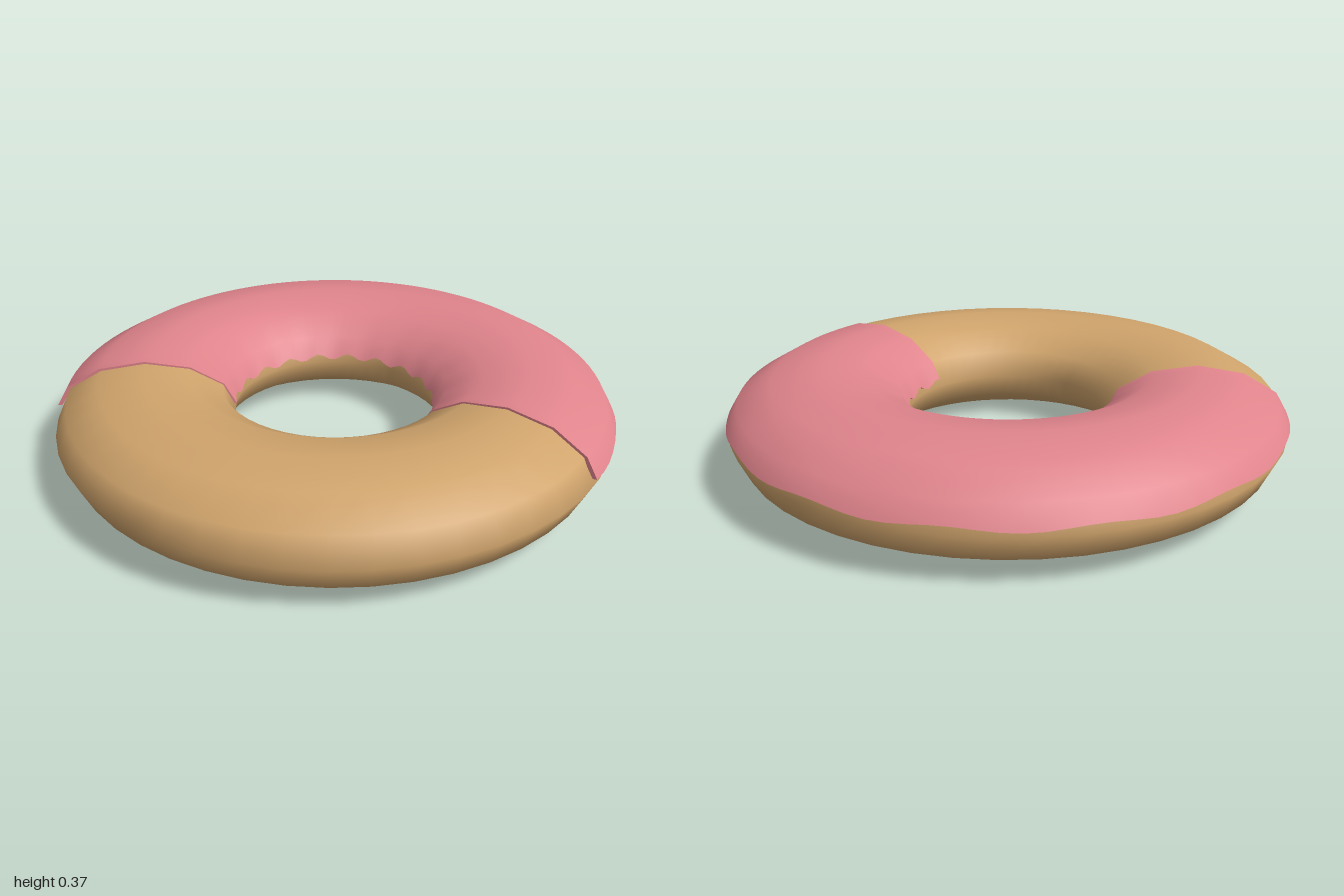
import * as THREE from 'three';

const RING = 0.675, TUBE = 0.315, HALF = 0.18; // ring radius, tube half width, half height
const START = -3.344, END = 0.445;             // icing sweep around the ring

// Point on the flattened ring: a around the ring, t around the tube, off = lift from the dough
function ringPoint(a, t, off) {
  const r = RING + (TUBE + off) * Math.cos(t);
  return [r * Math.cos(a), HALF + (HALF + off) * Math.sin(t), r * Math.sin(a)];
}

// Smooth grid sheet from a point function of u, v in 0..1
function sheet(fn, nu, nv) {
  const pos = [], index = [];
  for (let i = 0; i <= nu; i++) {
    for (let j = 0; j <= nv; j++) pos.push(...fn(i / nu, j / nv));
  }
  for (let i = 0; i < nu; i++) {
    for (let j = 0; j < nv; j++) {
      const a = i * (nv + 1) + j, b = a + nv + 1;
      index.push(a, a + 1, b, b, a + 1, b + 1);
    }
  }
  const g = new THREE.BufferGeometry();
  g.setAttribute('position', new THREE.Float32BufferAttribute(pos, 3));
  g.setIndex(index);
  g.computeVertexNormals();
  return g;
}

export function createModel() {
  const group = new THREE.Group();
  const doughMat = new THREE.MeshStandardMaterial({ color: 0xd0a46c });
  doughMat.name = 'dough';
  const icingMat = new THREE.MeshStandardMaterial({ color: 0xe0848c, side: THREE.DoubleSide });
  icingMat.name = 'pink icing';

  // Dough: flattened ring
  const doughGeo = new THREE.TorusGeometry(RING, TUBE, 12, 48);
  doughGeo.scale(1, 1, HALF / TUBE);
  doughGeo.rotateX(-Math.PI / 2);
  doughGeo.translate(0, HALF, 0);
  const dough = new THREE.Mesh(doughGeo, doughMat);
  dough.name = 'dough';
  group.add(dough);

  // Icing: thin shell over the top with wavy lower edges
  const icing = new THREE.Group();
  icing.name = 'icing';
  const angle = (u) => START + (END - START) * u;
  const tubeAngle = (a, v) => {
    const outer = 0.14 + 0.035 * Math.sin(14 * a);
    const inner = Math.PI - 0.12 - 0.06 * Math.sin(19 * a);
    if (v === 0) return outer;
    if (v === 1) return inner;
    return Math.PI * v; // lines up with the dough's cross-section
  };
  const lift = (t) => 0.0075 + 0.0025 * Math.cos(t);
  const surface = (a, v, depth) => {
    const t = tubeAngle(a, v);
    return ringPoint(a, t, lift(t) - 0.015 * depth);
  };
  const add = (name, geo) => {
    const m = new THREE.Mesh(geo, icingMat);
    m.name = name;
    icing.add(m);
  };
  add('icingTop', sheet((u, v) => surface(angle(u), v, 0), 58, 6));
  add('icingOuterEdge', sheet((u, d) => surface(angle(u), 0, 1 - d), 58, 1));
  add('icingInnerEdge', sheet((u, d) => surface(angle(u), 1, d), 58, 1));
  add('icingRightEnd', sheet((d, v) => surface(START, v, 1 - d), 1, 6));
  add('icingLeftEnd', sheet((d, v) => surface(END, v, d), 1, 6));
  group.add(icing);
  return group;
}
